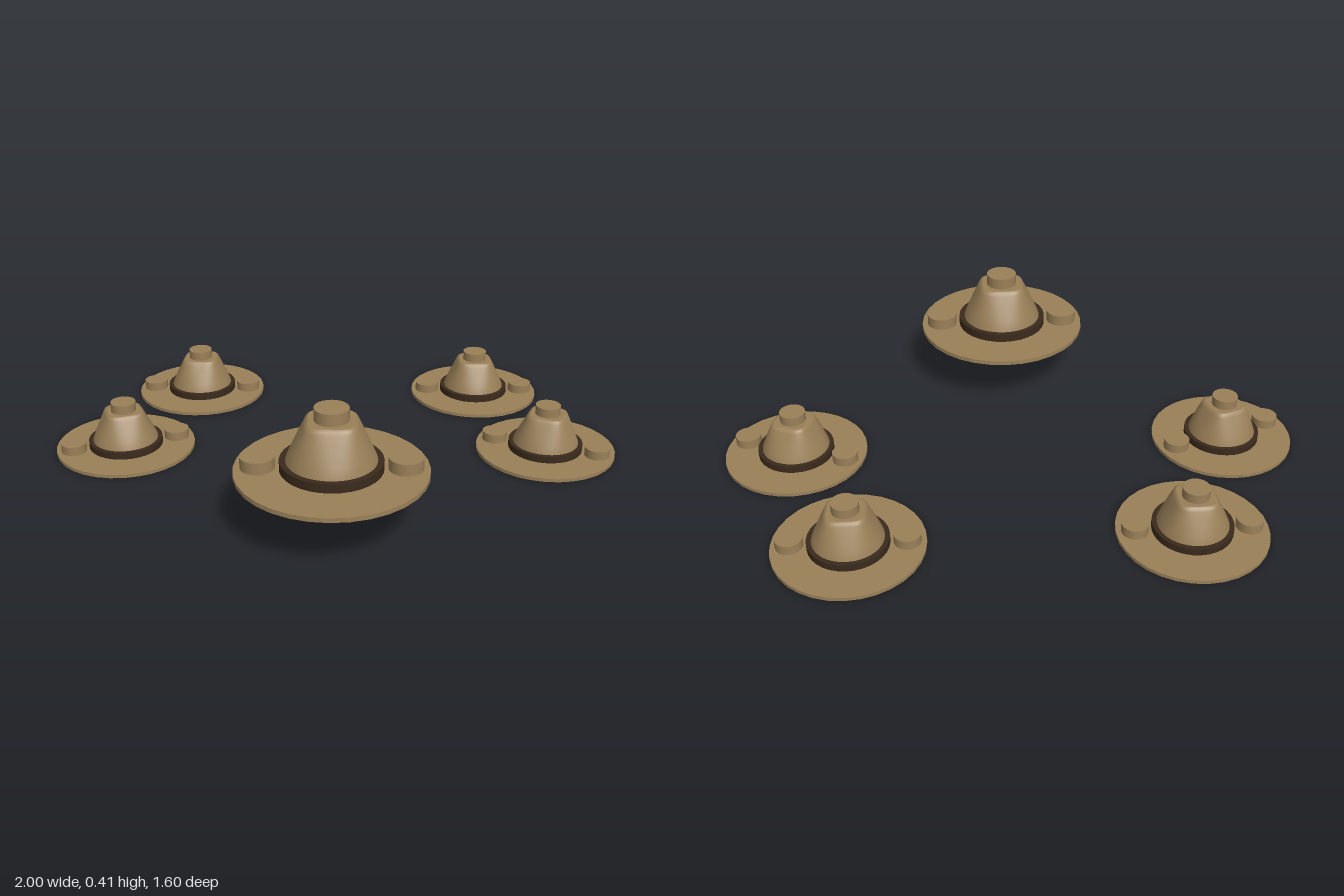
import * as THREE from 'three';
import { mergeVertices } from 'three/addons/utils/BufferGeometryUtils.js';

const tan = new THREE.MeshStandardMaterial({ color: 0x9a8058 });
const dark = new THREE.MeshStandardMaterial({ color: 0x3a2a1c });

function add(group, name, geometry, material, x = 0, y = 0, z = 0) {
  const mesh = new THREE.Mesh(geometry, material);
  mesh.name = name;
  mesh.position.set(x, y, z);
  group.add(mesh);
  return mesh;
}

// Factor that turns a unit circle into a superellipse of exponent n
function squareness(x, z, n) {
  const a = Math.atan2(z, x);
  return Math.pow(Math.abs(Math.cos(a)) ** n + Math.abs(Math.sin(a)) ** n, -1 / n);
}

// Crown rows, bottom to top: height, half width, squareness exponent
const rows = [
  [0.03, 0.147, 2], [0.05, 0.142, 2.05], [0.08, 0.129, 2.2], [0.11, 0.114, 2.5],
  [0.14, 0.099, 3], [0.165, 0.086, 3.6], [0.175, 0.08, 4], [0.18, 0.072, 4.5],
];

// Tapered wall that goes from a round foot to a rounded-square top
function crownWall() {
  const last = rows.length - 1;
  const geometry = new THREE.CylinderGeometry(1, 1, 1, 48, last, true);
  const p = geometry.attributes.position;
  for (let i = 0; i < p.count; i++) {
    const [y, half, n] = rows[Math.round((p.getY(i) + 0.5) * last)];
    const s = half * squareness(p.getX(i), p.getZ(i), n);
    p.setXYZ(i, p.getX(i) * s, y, p.getZ(i) * s);
  }
  geometry.deleteAttribute('uv');
  geometry.deleteAttribute('normal');
  const merged = mergeVertices(geometry, 1e-5);
  merged.computeVertexNormals();
  return merged;
}

// Flat lid matching the top row of the wall
function crownLid() {
  const [y, half, n] = rows[rows.length - 1];
  const geometry = new THREE.CircleGeometry(1, 48).rotateX(-Math.PI / 2);
  const p = geometry.attributes.position;
  for (let i = 0; i < p.count; i++) {
    const s = half * squareness(p.getX(i), p.getZ(i), n);
    p.setXYZ(i, p.getX(i) * s, y, p.getZ(i) * s);
  }
  return geometry;
}

const brim = new THREE.CylinderGeometry(0.306, 0.306, 0.015, 32);
const band = new THREE.CylinderGeometry(0.163, 0.163, 0.031, 32);
const button = new THREE.CylinderGeometry(0.055, 0.055, 0.042, 24);
const wall = crownWall();
const lid = crownLid();

function makeHat(name, x, y, z, scale, turn) {
  const hat = new THREE.Group();
  hat.name = name;
  add(hat, 'brim', brim, tan, 0, 0.0075, 0);
  add(hat, 'band', band, dark, 0, 0.0295, 0);
  add(hat, 'crown', wall, tan);
  add(hat, 'crownTop', lid, tan);
  add(hat, 'topButton', button, tan, 0, 0.199, 0);
  for (const side of [1, -1]) {
    add(hat, side > 0 ? 'leftButton' : 'rightButton', button, tan, 0.23 * side, 0.034, 0);
  }
  hat.position.set(x, y, z);
  hat.rotation.y = turn;
  hat.scale.setScalar(scale);
  return hat;
}

export function createModel() {
  const model = new THREE.Group();
  model.name = 'hats';
  // Large raised hat in front, two mirrored pairs behind it
  model.add(makeHat('frontHat', 0, 0.19, 0.49, 1, 0));
  for (const side of [1, -1]) {
    const label = side > 0 ? 'left' : 'right';
    model.add(makeHat(label + 'MiddleHat', 0.755 * side, 0, -0.05, 0.804, (-side * Math.PI) / 9));
    model.add(makeHat(label + 'BackHat', 0.545 * side, 0, -0.56, 0.804, 0));
  }
  return model;
}
